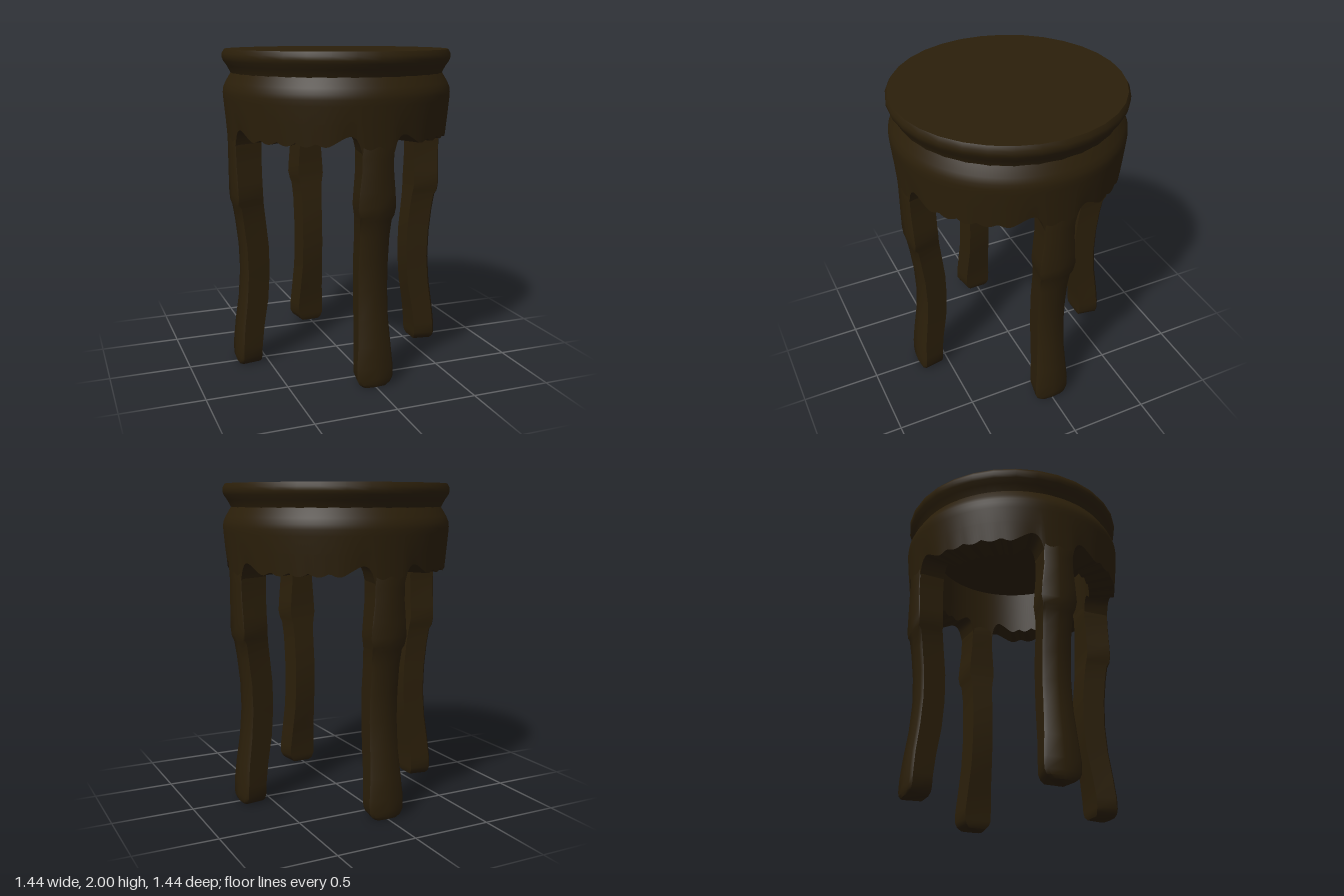
import * as THREE from 'three';
import { toCreasedNormals } from 'three/addons/utils/BufferGeometryUtils.js';

const wood = new THREE.MeshStandardMaterial({ color: 0x2b1f0a });
wood.name = 'dark brown wood';

const points = (list) => list.map(([x, y]) => new THREE.Vector2(x, y));

function addMesh(parent, name, geometry, crease = 0.6) {
  const mesh = new THREE.Mesh(toCreasedNormals(geometry, crease), wood);
  mesh.name = name;
  parent.add(mesh);
  return mesh;
}

// Piecewise linear lookup in a short list of [x, y] pairs
function lookup(list, x) {
  let i = 1;
  while (i < list.length - 1 && x > list[i][0]) i++;
  const [x0, y0] = list[i - 1], [x1, y1] = list[i];
  return THREE.MathUtils.mapLinear(THREE.MathUtils.clamp(x, x0, x1), x0, x1, y0, y1);
}

// Height of the apron's lower edge: arch beside each leg, then scallops
const arch = [[8, 1.42], [9, 1.47], [10.5, 1.51], [12.5, 1.528], [15, 1.53], [17, 1.518], [23.5, 1.472], [25, 1.468]];
function edgeHeight(angle) {
  let a = THREE.MathUtils.radToDeg(angle) % 90;
  if (a > 45) a = 90 - a;
  if (a < 25) return lookup(arch, a);
  return 1.49 - 0.022 * Math.abs(Math.cos(((a - 25) / 10) * Math.PI));
}

// Apron: a thick turned ring, hollow below, whose lower edge is cut by angle
function apronGeometry() {
  const profile = points([
    [0, 1.78], [0.525, 1.78], [0.525, 1.48], [0.695, 1.48],
    [0.707, 1.6], [0.716, 1.7], [0.718, 1.735], [0.715, 1.765], [0.7, 1.8], [0.665, 1.857], [0.6, 1.857],
  ]);
  const geometry = new THREE.LatheGeometry(profile, 224);
  const pos = geometry.attributes.position;
  for (let i = 0; i < pos.count; i++) {
    const row = i % profile.length;
    if (row !== 2 && row !== 3) continue;
    const angle = (Math.floor(i / profile.length) / 224) * Math.PI * 2;
    pos.setY(i, edgeHeight(angle));
  }
  return geometry;
}

// Leg stations: height, outer distance, inner distance, half width
const stations = [
  [0, 0.688, 0.555, 0.075], [0.02, 0.696, 0.547, 0.1], [0.05, 0.697, 0.545, 0.115],
  [0.12, 0.695, 0.542, 0.116], [0.25, 0.682, 0.525, 0.105], [0.42, 0.658, 0.495, 0.095],
  [0.6, 0.645, 0.482, 0.093], [0.77, 0.65, 0.484, 0.093], [0.93, 0.668, 0.5, 0.093],
  [1.03, 0.683, 0.512, 0.1], [1.06, 0.693, 0.516, 0.107], [1.11, 0.697, 0.52, 0.118],
  [1.2, 0.698, 0.522, 0.111], [1.32, 0.699, 0.522, 0.099], [1.4, 0.699, 0.52, 0.098],
  [1.46, 0.699, 0.521, 0.1], [1.54, 0.694, 0.535, 0.09],
];

// Leg: wedge sections with a bowed outer face, stacked along the S-curve, pointing to +z
function legGeometry() {
  const n = 7, verts = [], index = [];
  for (const [y, out, inn, w] of stations) {
    const c = y < 1.05 ? 0.016 : 0.006;
    const bow = (w * w) / 1.4;
    const innerW = w * 0.78;
    const section = [
      [-w, out - bow - c], [-w + c, out - bow], [0, out], [w - c, out - bow], [w, out - bow - c],
      [innerW, inn], [-innerW, inn],
    ];
    for (const [x, z] of section) verts.push(x, y, z);
  }
  for (let i = 0; i < stations.length - 1; i++) {
    for (let j = 0; j < n; j++) {
      const a = i * n + j, b = i * n + ((j + 1) % n);
      index.push(a, b, b + n, a, b + n, a + n);
    }
  }
  for (let k = 1; k < n - 1; k++) index.push(0, k + 1, k);
  const geometry = new THREE.BufferGeometry();
  geometry.setAttribute('position', new THREE.Float32BufferAttribute(verts, 3));
  geometry.setIndex(index);
  return geometry;
}

export function createModel() {
  const stool = new THREE.Group();
  stool.name = 'roundStool';

  // Round seat with a thin bevel and an undercut neck
  const seat = points([
    [0.6, 1.85], [0.665, 1.85], [0.669, 1.861], [0.69, 1.9], [0.711, 1.93],
    [0.718, 1.95], [0.718, 1.975], [0.703, 2], [0, 2],
  ]);
  addMesh(stool, 'seat', new THREE.LatheGeometry(seat, 32));
  addMesh(stool, 'apron', apronGeometry());

  // Four legs, one at each quarter turn
  const names = ['frontLeg', 'leftLeg', 'backLeg', 'rightLeg'];
  names.forEach((name, i) => {
    addMesh(stool, name, legGeometry(), 0.8).rotation.y = (i * Math.PI) / 2;
  });
  return stool;
}
